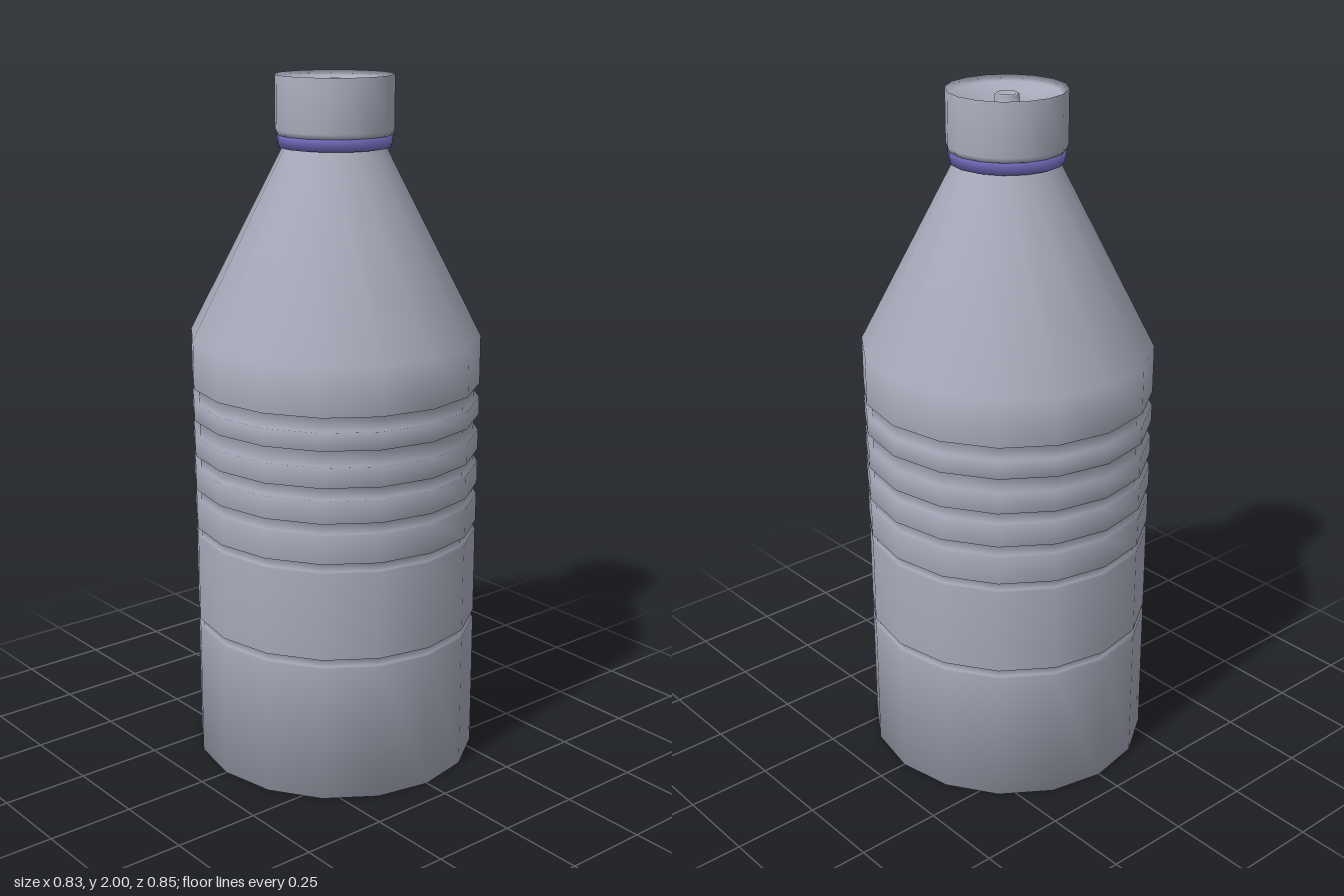
import * as THREE from 'three';

const SIDES = 16;

// Spin a [radius, height] profile, listed from the bottom centre outwards and up
function lathe(name, profile, material) {
  const points = profile.map(([r, y]) => new THREE.Vector2(r, y));
  const mesh = new THREE.Mesh(new THREE.LatheGeometry(points, SIDES), material);
  mesh.name = name;
  return mesh;
}

export function createModel() {
  const group = new THREE.Group();
  group.name = 'bottle';
  const plastic = new THREE.MeshStandardMaterial({ color: 0xa8aaba });
  plastic.name = 'greyPlastic';
  const purple = new THREE.MeshStandardMaterial({ color: 0x7068b8 });
  purple.name = 'purplePlastic';

  // Body: hollow foot, then raised bands separated by shallow grooves
  const groove = 0.4;
  const profile = [[0, 0.17], [0.14, 0.17], [0.15, 0.045], [0.225, 0.03], [0.412, 0]];
  const bands = [
    [0, 0.402, 0.412], [0.428, 0.685, 0.412], [0.713, 0.795, 0.413],
    [0.83, 0.895, 0.414], [0.932, 0.99, 0.414], [1.037, 1.088, 0.415],
  ];
  bands.forEach(([low, high, r], i) => {
    if (i > 0) profile.push([groove, low], [r, low]);
    profile.push([r, high], [groove, high]);
  });

  // Shoulder and cone up to the neck
  profile.push([groove, 1.13], [0.415, 1.13], [0.415, 1.27], [0.145, 1.8], [0.13, 1.85]);
  const body = lathe('body', profile, plastic);
  body.scale.z = 1.025;
  group.add(body);

  // Tamper ring below the cap
  group.add(lathe('neckRing', [
    [0.13, 1.802], [0.16, 1.802], [0.164, 1.836], [0.13, 1.838],
  ], purple));

  // Cap with a dished top and a small centre nub
  group.add(lathe('cap', [
    [0.12, 1.836], [0.163, 1.836], [0.168, 1.85], [0.168, 2], [0.148, 1.985],
    [0.09, 1.972], [0.035, 1.95], [0.034, 1.982], [0.028, 1.987], [0, 1.98],
  ], plastic));

  return group;
}
